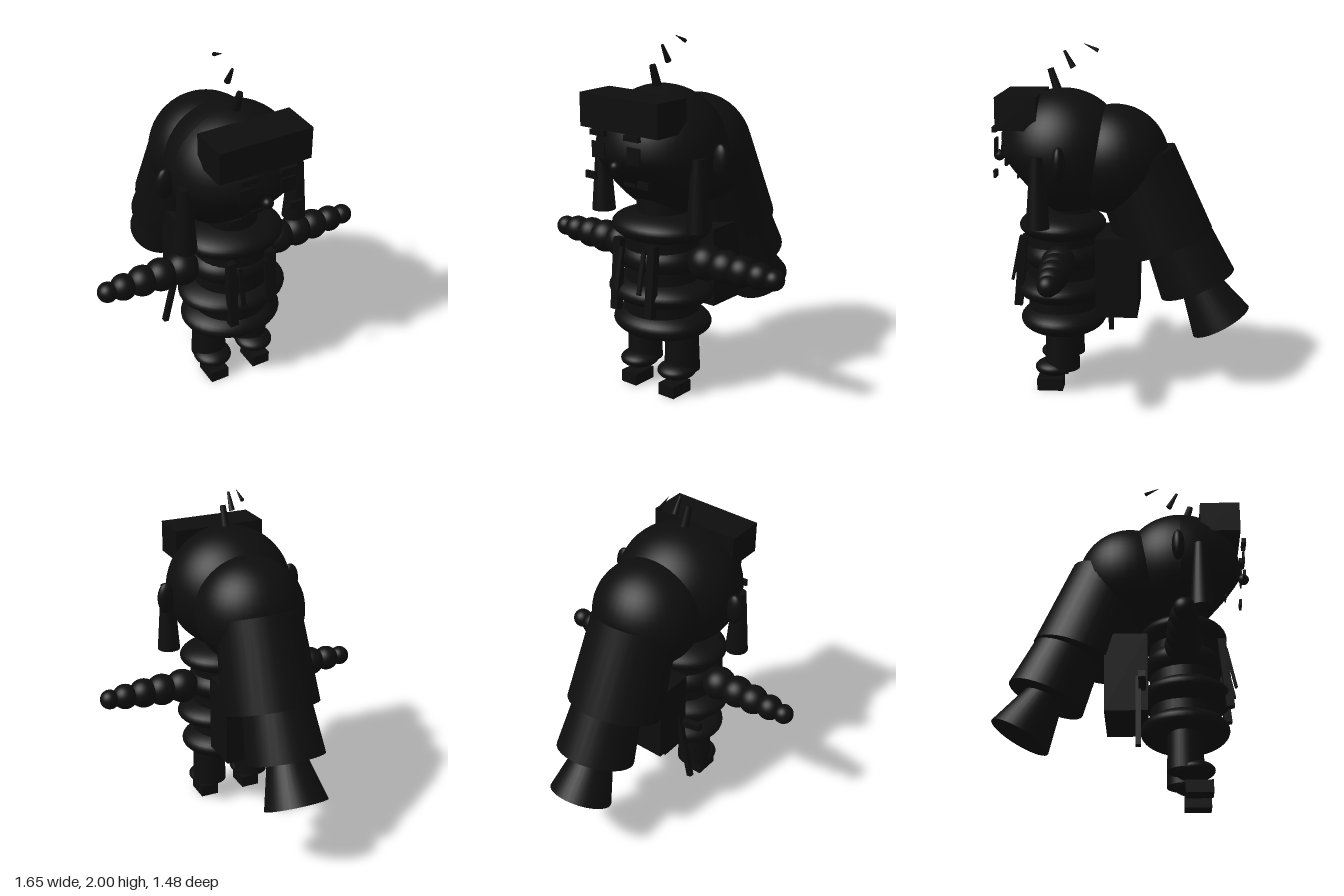
import * as THREE from 'three';

export function createModel() {
  const model = new THREE.Group();
  model.name = 'figure';
  const black = new THREE.MeshStandardMaterial({ color: 0x0d0d0d });
  black.name = 'black';

  const add = (name, geometry, x = 0, y = 0, z = 0, rx = 0, rz = 0) => {
    const mesh = new THREE.Mesh(geometry, black);
    mesh.name = name;
    mesh.position.set(x, y, z);
    mesh.rotation.set(rx, 0, rz);
    model.add(mesh);
    return mesh;
  };
  const box = (name, w, h, d, ...at) => add(name, new THREE.BoxGeometry(w, h, d), ...at);
  const ball = (name, rx, ry, rz, ...at) =>
    add(name, new THREE.SphereGeometry(1, 36, 24).scale(rx, ry, rz), ...at);
  // Tapered rod between two points in the x = 0 plane, given as [y, z]
  const rod = (name, [y0, z0], [y1, z1], r0, r1, sides = 32) => {
    const dy = y1 - y0, dz = z1 - z0;
    return add(name, new THREE.CylinderGeometry(r1, r0, Math.hypot(dy, dz), sides),
      0, (y0 + y1) / 2, (z0 + z1) / 2, Math.atan2(dz, dy));
  };

  // Head, with the front of the jaw drawn in
  const headGeometry = new THREE.SphereGeometry(1, 48, 32);
  const p = headGeometry.attributes.position;
  for (let i = 0; i < p.count; i++) {
    const y = p.getY(i), z = p.getZ(i);
    if (y < 0 && z > 0) p.setZ(i, z * (1 + 0.6 * y));
  }
  headGeometry.scale(0.37, 0.36, 0.36);
  headGeometry.computeVertexNormals();
  add('head', headGeometry, 0, 1.39, 0.335);
  box('fringe', 0.55, 0.185, 0.23, 0, 1.632, 0.57);
  ball('nose', 0.032, 0.032, 0.032, 0, 1.36, 0.71);
  box('mouth', 0.08, 0.02, 0.008, 0, 1.24, 0.6);

  // Back hair and the flared tail
  ball('backHair', 0.32, 0.315, 0.31, 0, 1.345, 0.04);
  rod('upperTail', [0.855, -0.26], [1.342, -0.069], 0.278, 0.25);
  rod('middleTail', [0.615, -0.44], [1.0, -0.277], 0.23, 0.188);
  rod('tailTip', [0.387, -0.58], [0.67, -0.424], 0.185, 0.1);

  // Row of spikes rising off the crown
  rod('lowerSpike', [1.73, 0.365], [1.86, 0.407], 0.026, 0.018, 8);
  rod('middleSpike', [1.865, 0.277], [1.96, 0.327], 0.018, 0.008, 8);
  rod('upperSpike', [1.96, 0.135], [2.0, 0.217], 0.012, 0.001, 8);

  // Stacked torso
  add('neck', new THREE.CylinderGeometry(0.15, 0.15, 0.2, 32), 0, 1.03, 0.33);
  add('torso', new THREE.CylinderGeometry(0.22, 0.22, 0.6, 32).scale(1, 1, 0.9), 0, 0.68, 0.35);
  ball('collar', 0.3, 0.095, 0.25, 0, 0.965, 0.345);
  ball('chest', 0.26, 0.12, 0.225, 0, 0.79, 0.345);
  ball('waistRoll', 0.32, 0.095, 0.26, 0, 0.595, 0.355);
  ball('hipRoll', 0.298, 0.1, 0.25, 0, 0.405, 0.345);
  box('backpack', 0.42, 0.46, 0.24, 0, 0.69, 0.02);

  // Slanted stick at the right hip with its guard
  box('stick', 0.03, 0.5, 0.03, -0.24, 0.47, 0.088, 0, -0.23);
  box('stickGuard', 0.16, 0.04, 0.04, -0.265, 0.605, 0.11, 0, -0.2);

  for (const s of [-1, 1]) {
    const side = s > 0 ? 'left' : 'right';

    // Face plates
    box(side + 'Brow', 0.1, 0.03, 0.025, s * 0.12, 1.53, 0.71);
    box(side + 'Eye', 0.09, 0.09, 0.009, s * 0.125, 1.435, 0.705);
    box(side + 'Cheek', 0.075, 0.04, 0.015, s * 0.187, 1.288, 0.7);

    // Ear and hanging side lock
    ball(side + 'Ear', 0.053, 0.093, 0.036, s * 0.397, 1.38, 0.32);
    add(side + 'SideLock', new THREE.CylinderGeometry(0.037, 0.067, 0.4, 24),
      s * 0.345, 1.21, 0.445);

    // Arm of shrinking beads
    [[0.31, 0.1], [0.44, 0.094], [0.555, 0.087], [0.67, 0.075], [0.765, 0.058]]
      .forEach(([x, r], i) => ball(`${side}ArmBead${i + 1}`, r, r, r, s * x, 0.8, 0.335));

    // Leaning chest straps
    box(side + 'Strap', 0.05, 0.41, 0.045, s * 0.125, 0.708, 0.576, -0.09);
    box(side + 'StrapTrim', 0.025, 0.24, 0.015, s * 0.08, 0.757, 0.61, -0.2);

    // Leg, ankle cuff and foot block
    add(side + 'Leg', new THREE.CylinderGeometry(0.092, 0.102, 0.3, 32), s * 0.14, 0.28, 0.34);
    ball(side + 'Cuff', 0.11, 0.05, 0.112, s * 0.14, 0.135, 0.387);
    box(side + 'Foot', 0.11, 0.07, 0.15, s * 0.14, 0.035, 0.41);
  }
  return model;
}
